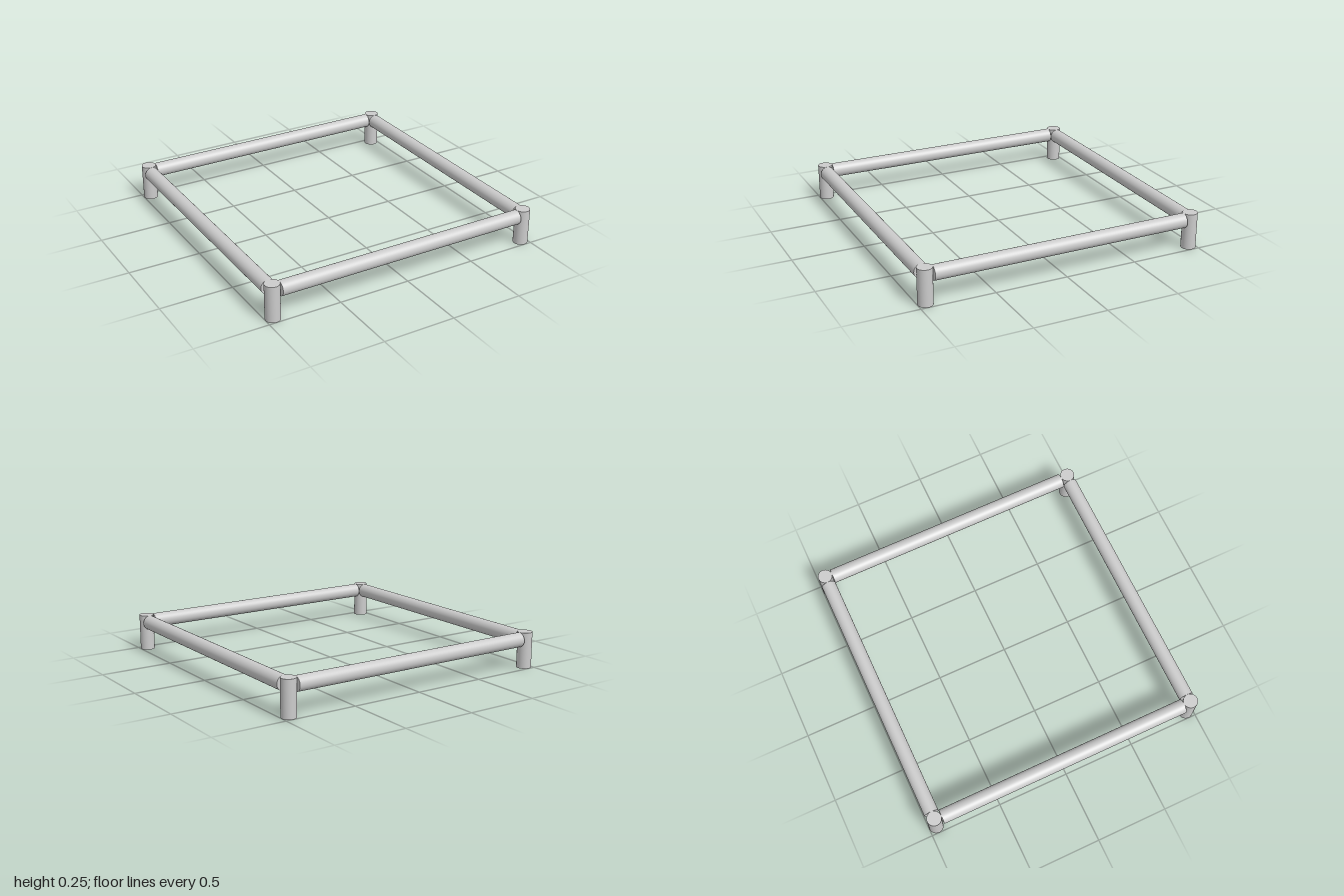
import * as THREE from 'three';

const RADIUS = 0.05;
const HEIGHT = 0.25;
const CENTRE = 1 - RADIUS; // distance of legs and rails from the middle
const RAIL_LENGTH = 2 * (CENTRE - RADIUS);

export function createModel() {
  const model = new THREE.Group();
  model.name = 'squareFrame';
  const material = new THREE.MeshStandardMaterial({ color: 0xcccccc });
  const legGeometry = new THREE.CylinderGeometry(RADIUS, RADIUS, HEIGHT, 48);
  const railGeometry = new THREE.CylinderGeometry(RADIUS, RADIUS, RAIL_LENGTH, 48);

  const add = (name, geometry, x, y, z) => {
    const mesh = new THREE.Mesh(geometry, material);
    mesh.name = name;
    mesh.position.set(x, y, z);
    model.add(mesh);
    return mesh;
  };

  // Four upright corner legs
  for (const [side, sx] of [['Left', 1], ['Right', -1]]) {
    for (const [end, sz] of [['front', 1], ['back', -1]]) {
      add(`${end}${side}Leg`, legGeometry, sx * CENTRE, HEIGHT / 2, sz * CENTRE);
    }
  }

  // Round rails between the legs, flush with their tops
  const railY = HEIGHT - RADIUS;
  for (const [name, sz] of [['frontRail', 1], ['backRail', -1]]) {
    add(name, railGeometry, 0, railY, sz * CENTRE).rotation.z = Math.PI / 2;
  }
  for (const [name, sx] of [['leftRail', 1], ['rightRail', -1]]) {
    add(name, railGeometry, sx * CENTRE, railY, 0).rotation.x = Math.PI / 2;
  }

  return model;
}
